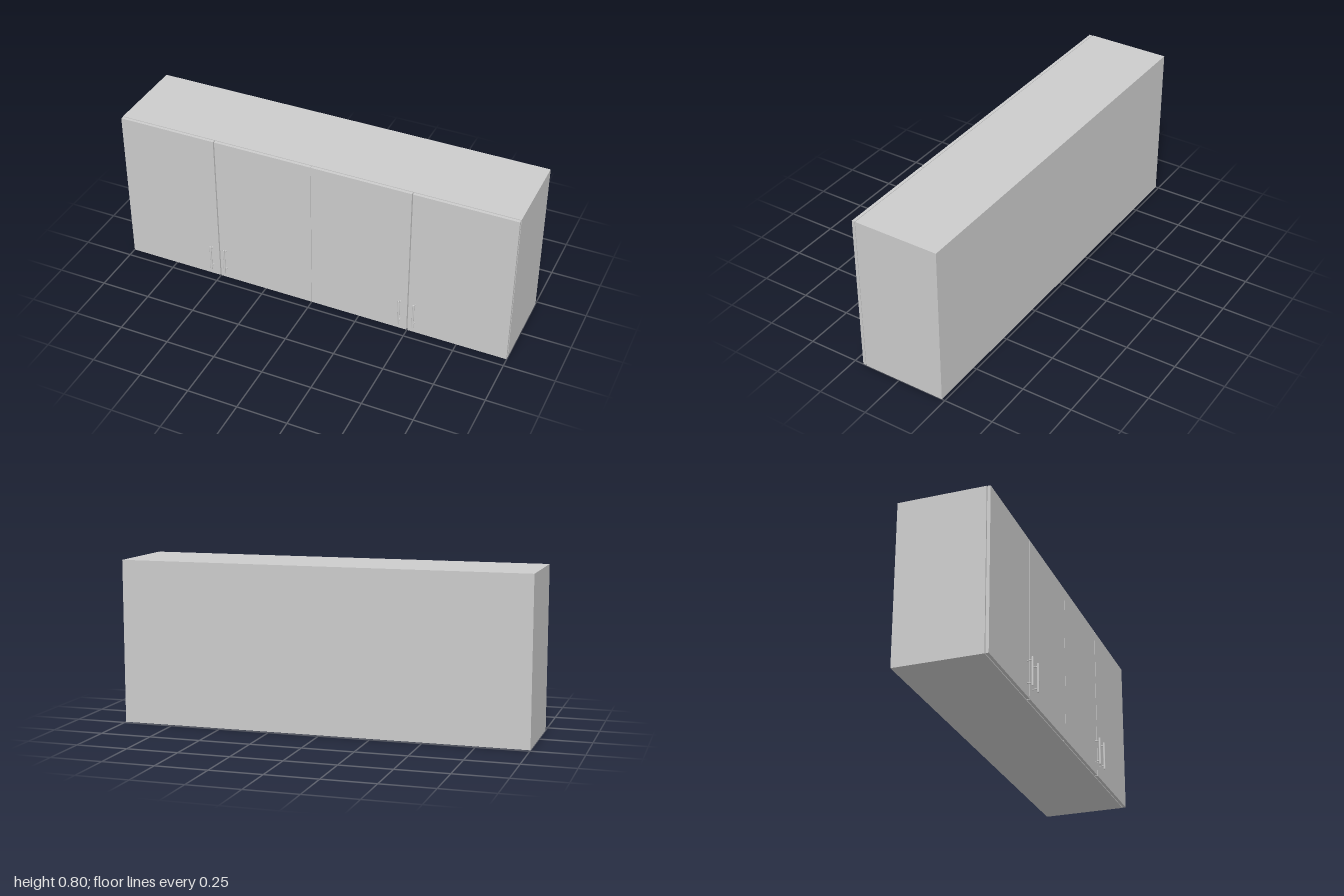
import * as THREE from 'three';

const HEIGHT = 0.8, BACK = -0.234, BODY_FRONT = 0.186, DOOR_BACK = 0.189, DOOR_FRONT = 0.204;
const material = new THREE.MeshStandardMaterial({ color: 0xcccccc });

function addMesh(parent, name, geometry, x, y, z) {
  const mesh = new THREE.Mesh(geometry, material);
  mesh.name = name;
  mesh.position.set(x, y, z);
  parent.add(mesh);
  return mesh;
}

// Bar handle: a vertical rod with softened ends on two short posts
function createHandle(x) {
  const handle = new THREE.Group();
  handle.name = 'handle';
  const r = 0.005, half = 0.071, barZ = 0.229;
  const profile = [[0, -half], [r * 0.7, -half], [r, -half + 0.002], [r, half - 0.002], [r * 0.7, half], [0, half]]
    .map(([px, py]) => new THREE.Vector2(px, py));
  addMesh(handle, 'handleBar', new THREE.LatheGeometry(profile, 20), x, 0.116, barZ);
  const length = barZ - DOOR_FRONT;
  for (const y of [0.062, 0.17]) {
    const post = addMesh(handle, 'handlePost', new THREE.CylinderGeometry(0.003, 0.003, length, 16), x, y, DOOR_FRONT + length / 2);
    post.rotation.x = Math.PI / 2;
  }
  return handle;
}

export function createModel() {
  const cabinet = new THREE.Group();
  cabinet.name = 'wallCabinet';

  // Closed carcass behind the doors
  const depth = BODY_FRONT - BACK;
  addMesh(cabinet, 'carcass', new THREE.BoxGeometry(2, HEIGHT, depth), 0, HEIGHT / 2, BACK + depth / 2);

  // Four slab doors, in two pairs that open from x = -0.5 and x = 0.5
  const thickness = DOOR_FRONT - DOOR_BACK;
  for (const pairX of [-0.5, 0.5]) {
    for (const side of [-1, 1]) {
      const inner = 0.003, outer = 0.499;
      addMesh(cabinet, 'door', new THREE.BoxGeometry(outer - inner, HEIGHT - 0.002, thickness),
        pairX + side * (inner + outer) / 2, HEIGHT / 2, DOOR_BACK + thickness / 2);
      // Hinge sits in the narrow gap and joins the door to the carcass
      for (const y of [0.1, 0.7]) {
        addMesh(cabinet, 'hinge', new THREE.BoxGeometry(0.03, 0.04, DOOR_BACK - BODY_FRONT),
          pairX + side * 0.46, y, (DOOR_BACK + BODY_FRONT) / 2);
      }
      cabinet.add(createHandle(pairX + side * 0.037));
    }
  }
  return cabinet;
}
